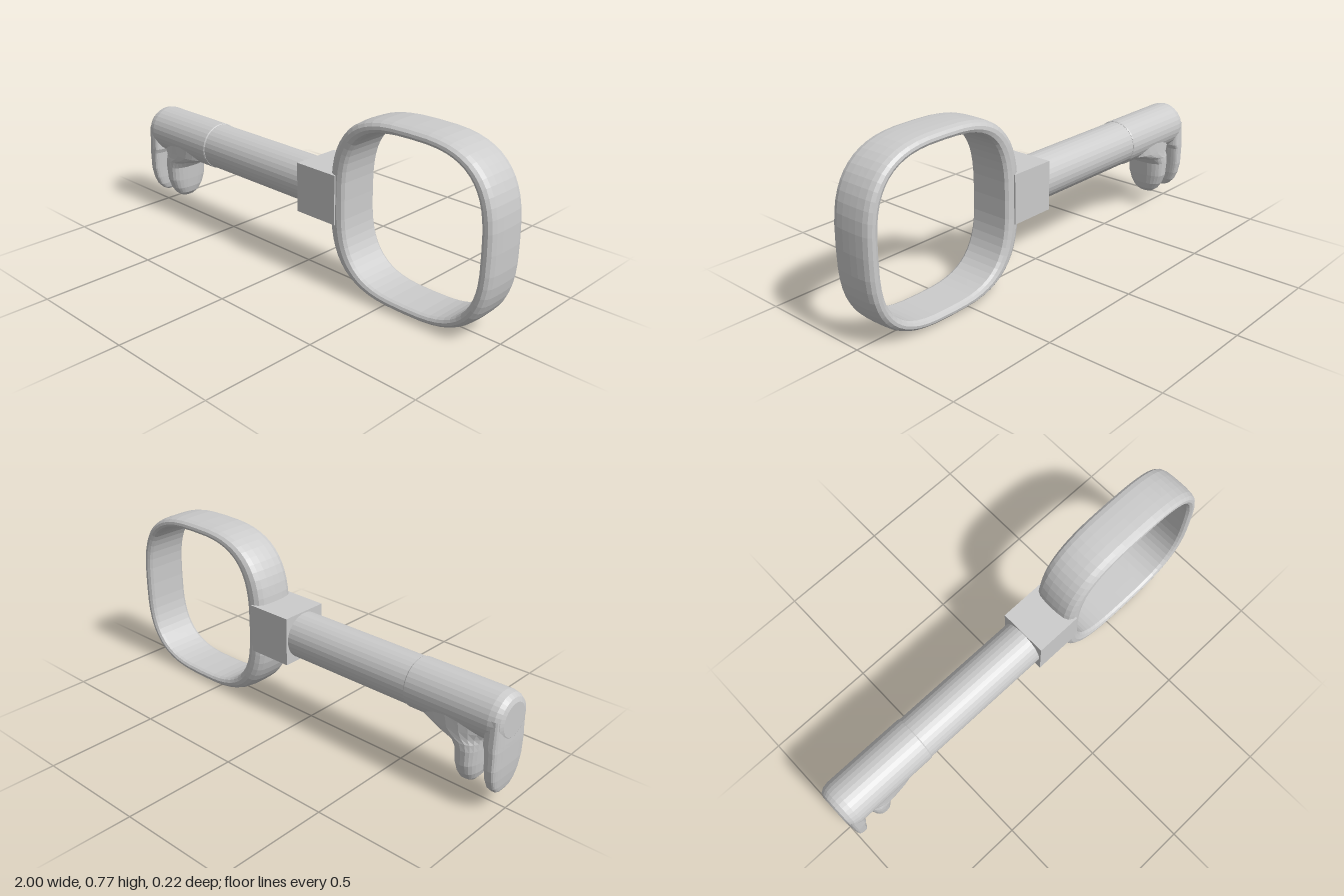
import * as THREE from 'three';

const AXIS_Y = 0.388;
const material = new THREE.MeshStandardMaterial({ color: 0xcccccc, flatShading: true });

function add(group, name, geometry, x = 0, y = 0, z = 0) {
  const mesh = new THREE.Mesh(geometry, material);
  mesh.name = name;
  mesh.position.set(x, y, z);
  group.add(mesh);
  return mesh;
}

// Skin over rows of closed rings; loop joins the last row to the first.
function skin(rows, loop = false) {
  const n = rows[0].length;
  const index = [];
  for (let i = 0; i < rows.length - (loop ? 0 : 1); i++) {
    const next = (i + 1) % rows.length;
    for (let j = 0; j < n; j++) {
      const k = (j + 1) % n;
      const a = i * n + j, b = i * n + k, c = next * n + j, d = next * n + k;
      index.push(a, b, c, b, d, c);
    }
  }
  const geometry = new THREE.BufferGeometry();
  geometry.setAttribute('position', new THREE.Float32BufferAttribute(rows.flat(2), 3));
  geometry.setIndex(index);
  geometry.computeVertexNormals();
  return geometry;
}

// Point on a rounded-square outline.
function squircle(t, a, b, n) {
  const c = Math.cos(t), s = Math.sin(t);
  return [
    a * Math.sign(c) * Math.abs(c) ** (2 / n),
    b * Math.sign(s) * Math.abs(s) ** (2 / n),
  ];
}

// Tooth from sections [y, xMin, xMax, halfDepth], top to bottom.
function toothGeometry(sections, n) {
  return skin(sections.map(([y, x0, x1, hz]) =>
    Array.from({ length: 24 }, (_, j) => {
      const [x, z] = squircle(j / 24 * Math.PI * 2, (x1 - x0) / 2, hz, n);
      return [(x0 + x1) / 2 + x, y, z];
    })));
}

// Ring handle: the section runs from the flat inner face round the bulged outer face.
function bowGeometry() {
  const half = [[0, 0.03], [0, 0.085], [0.12, 0.097], [0.35, 0.103], [0.6, 0.101],
    [0.82, 0.09], [0.94, 0.07], [0.99, 0.035]];
  const section = [[0, 0], ...half, [1, 0], ...half.map(([k, z]) => [k, -z]).reverse()];
  const steps = 56;
  const rows = Array.from({ length: steps }, (_, i) => {
    const t = i / steps * Math.PI * 2;
    const [ix, iy] = squircle(t, 0.33, 0.342, 3);
    const [ox, oy] = squircle(t, 0.4, 0.387, 2.9);
    return section.map(([k, z]) => [
      (0.615 + ix) * (1 - k) + (0.6 + ox) * k,
      AXIS_Y + iy * (1 - k) + oy * k,
      z,
    ]);
  });
  return skin(rows, true);
}

export function createModel() {
  const key = new THREE.Group();
  key.name = 'key';

  add(key, 'bow', bowGeometry());
  add(key, 'collar', new THREE.BoxGeometry(0.21, 0.215, 0.218), 0.145, AXIS_Y, 0);

  const shaft = add(key, 'shaft', new THREE.CylinderGeometry(0.101, 0.101, 0.66, 32), -0.27, AXIS_Y, 0);
  shaft.rotation.z = Math.PI / 2;

  // Slightly thicker tip sleeve with a rounded end
  const profile = [[0, -1], [0.07, -1], [0.088, -0.993], [0.1, -0.975], [0.105, -0.95],
    [0.105, -0.575], [0.102, -0.57], [0, -0.57]].map(([r, x]) => new THREE.Vector2(r, x));
  const tip = add(key, 'tipSleeve', new THREE.LatheGeometry(profile, 32), 0, AXIS_Y, 0);
  tip.rotation.z = -Math.PI / 2;

  // Thin end tooth, flush with the sleeve's end
  add(key, 'endTooth', toothGeometry([
    [0.41, -0.998, -0.93, 0.1], [0.3, -1, -0.925, 0.104], [0.28, -1, -0.934, 0.104],
    [0.2, -0.998, -0.939, 0.102], [0.15, -0.994, -0.941, 0.092], [0.11, -0.989, -0.944, 0.074],
    [0.085, -0.984, -0.95, 0.05], [0.073, -0.977, -0.957, 0.027], [0.068, -0.967, -0.967, 0],
  ], 4));

  // Thicker inner tooth, flaring into the underside of the sleeve
  add(key, 'innerTooth', toothGeometry([
    [0.4, -0.93, -0.58, 0.1], [0.31, -0.93, -0.62, 0.1], [0.285, -0.912, -0.69, 0.1],
    [0.265, -0.905, -0.765, 0.1], [0.235, -0.902, -0.788, 0.1], [0.17, -0.896, -0.793, 0.096],
    [0.125, -0.89, -0.798, 0.08], [0.095, -0.88, -0.807, 0.06], [0.077, -0.866, -0.822, 0.035],
    [0.068, -0.845, -0.845, 0],
  ], 2.5));

  return key;
}
